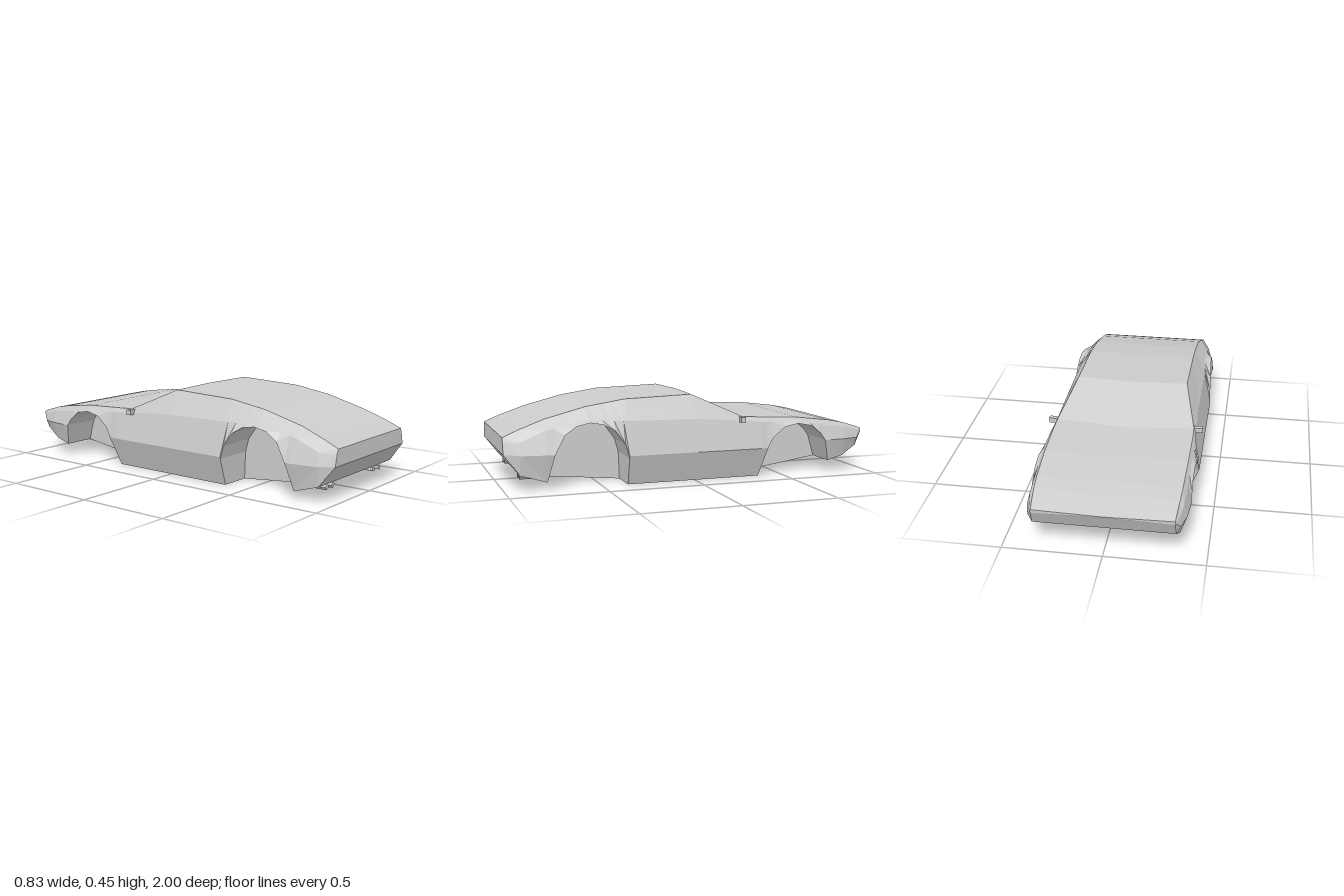
import * as THREE from 'three';

// Body stations from tail (+z) to nose (-z):
// z, topY, roofX, shoulderX, shoulderY, beltX, beltY, sillX, sillY, crown shift in z
const STATIONS = [
  [1, .273, .315, .325, .25, .34, .19, .34, .188, 0],
  [.92, .307, .31, .355, .25, .375, .185, .36, .083, 0],
  [.785, .355, .3, .355, .305, .395, .185, .36, .042, 0],
  [.57, .41, .3, .36, .347, .405, .165, .36, .024, 0],
  [.365, .441, .3, .37, .335, .41, .16, .355, .004, 0],
  [0, .453, .3, .37, .33, .41, .16, .355, .004, -.02],
  [-.27, .33, .365, .375, .31, .41, .16, .355, .004, -.04],
  [-.365, .325, .367, .385, .3, .41, .16, .355, .004, -.02],
  [-.58, .315, .365, .38, .295, .407, .17, .36, .035, 0],
  [-.78, .29, .36, .38, .26, .4, .185, .365, .065, 0],
  [-.87, .272, .355, .375, .25, .392, .185, .36, .088, 0],
  [-.955, .247, .348, .36, .225, .37, .185, .35, .14, 0],
  [-.99, .233, .345, .346, .23, .348, .222, .345, .215, -.01],
];

// Wheel openings as z, y, tail to nose
const ARCHES = [
  [[.785, .042], [.75, .185], [.7, .28], [.64, .322], [.57, .337], [.5, .325],
    [.44, .29], [.39, .22], [.37, .15], [.365, .004]],
  [[-.365, .004], [-.4, .16], [-.43, .215], [-.5, .268], [-.58, .284], [-.66, .268],
    [-.715, .225], [-.745, .185], [-.78, .065]],
];
const WELL_X = 0.19; // inner wall of the wheel wells

// Linear lookup in a table sorted by falling first column
function sample(table, z) {
  let i = 0;
  while (i < table.length - 2 && z < table[i + 1][0]) i++;
  const a = table[i], b = table[i + 1];
  const t = (z - a[0]) / (b[0] - a[0]);
  return a.map((v, k) => v + (b[k] - v) * t);
}

const archAt = (z) => ARCHES.find((a) => z < a[0][0] && z > a[a.length - 1][0]);

// Half cross-section: crown, roof edge, shoulder, belt, sill, well top, well foot, floor centre
function ring(z, arch) {
  const [, top, ax, bx, by, cx, cy, dx, dy, shift] = sample(STATIONS, z);
  let shoulder = by, belt = [cx, cy], sill = [dx, dy];
  let wellTop = sill, wellFoot = sill;
  if (arch) {
    const y = sample(arch, z)[1];
    shoulder = Math.max(by, y + 0.01);
    if (y > cy) {
      belt = [cx - 0.01 * (y - cy) / 0.17, y];
      sill = belt;
    } else {
      const t = Math.max(0, (y - dy) / (cy - dy));
      sill = [dx + (cx - dx) * t, Math.max(y, dy)];
    }
    wellTop = [WELL_X, sill[1]];
    wellFoot = [WELL_X, dy];
  }
  const pts = [[ax, top], [bx, shoulder], belt, sill, wellTop, wellFoot, [0, dy]];
  return [new THREE.Vector3(0, top, z + shift), ...pts.map(([x, y]) => new THREE.Vector3(x, y, z))];
}

// Adds a triangle and its mirror image, skipping collapsed ones
function addTri(out, a, b, c) {
  const n = b.clone().sub(a).cross(c.clone().sub(a));
  if (n.length() < 1e-8) return;
  for (const p of [a, b, c]) out.push(p.x, p.y, p.z);
  for (const p of [a, c, b]) out.push(-p.x, p.y, p.z);
}

export function createModel() {
  const group = new THREE.Group();
  const material = new THREE.MeshStandardMaterial({
    color: 0xcccccc, flatShading: true, side: THREE.DoubleSide,
  });
  const add = (name, geometry) => {
    const mesh = new THREE.Mesh(geometry, material);
    mesh.name = name;
    group.add(mesh);
    return mesh;
  };

  // All section positions, tail to nose
  const zs = [...new Set([...STATIONS, ...ARCHES.flat()].map((r) => r[0]))].sort((a, b) => b - a);

  // Lengthwise bands of the body shell
  const panels = { upperShell: [], upperSides: [], lowerSides: [], wheelWells: [], floor: [], tailPanel: [], nosePanel: [] };
  const bands = ['upperShell', 'upperSides', 'lowerSides', 'lowerSides', 'wheelWells', 'wheelWells', 'floor'];
  for (let i = 0; i < zs.length - 1; i++) {
    const arch = archAt((zs[i] + zs[i + 1]) / 2);
    const p = ring(zs[i], arch), q = ring(zs[i + 1], arch);
    bands.forEach((name, j) => {
      addTri(panels[name], p[j], p[j + 1], q[j + 1]);
      addTri(panels[name], p[j], q[j + 1], q[j]);
    });
  }

  // Closing panels at both ends
  const tail = ring(zs[0]), nose = ring(zs[zs.length - 1]);
  for (let j = 1; j < 7; j++) {
    addTri(panels.tailPanel, tail[0], tail[j + 1], tail[j]);
    addTri(panels.nosePanel, nose[0], nose[j], nose[j + 1]);
  }
  for (const [name, data] of Object.entries(panels)) {
    const geometry = new THREE.BufferGeometry();
    geometry.setAttribute('position', new THREE.Float32BufferAttribute(data, 3));
    geometry.computeVertexNormals();
    add(name, geometry);
  }

  for (const side of [-1, 1]) {
    // Door mirrors
    const mirror = add('doorMirror', new THREE.BoxGeometry(0.045, 0.028, 0.025));
    mirror.position.set(side * 0.389, 0.317, -0.257);
    mirror.rotation.y = side * -0.15;

    // Twin exhaust pipes
    for (const x of [0.205, 0.26]) {
      const pipe = add('exhaustPipe', new THREE.CylinderGeometry(0.015, 0.015, 0.12, 5));
      pipe.rotation.set(Math.PI / 2, side * Math.PI / 2, 0);
      pipe.position.set(side * x, 0.062, 0.85);
    }
  }
  return group;
}
